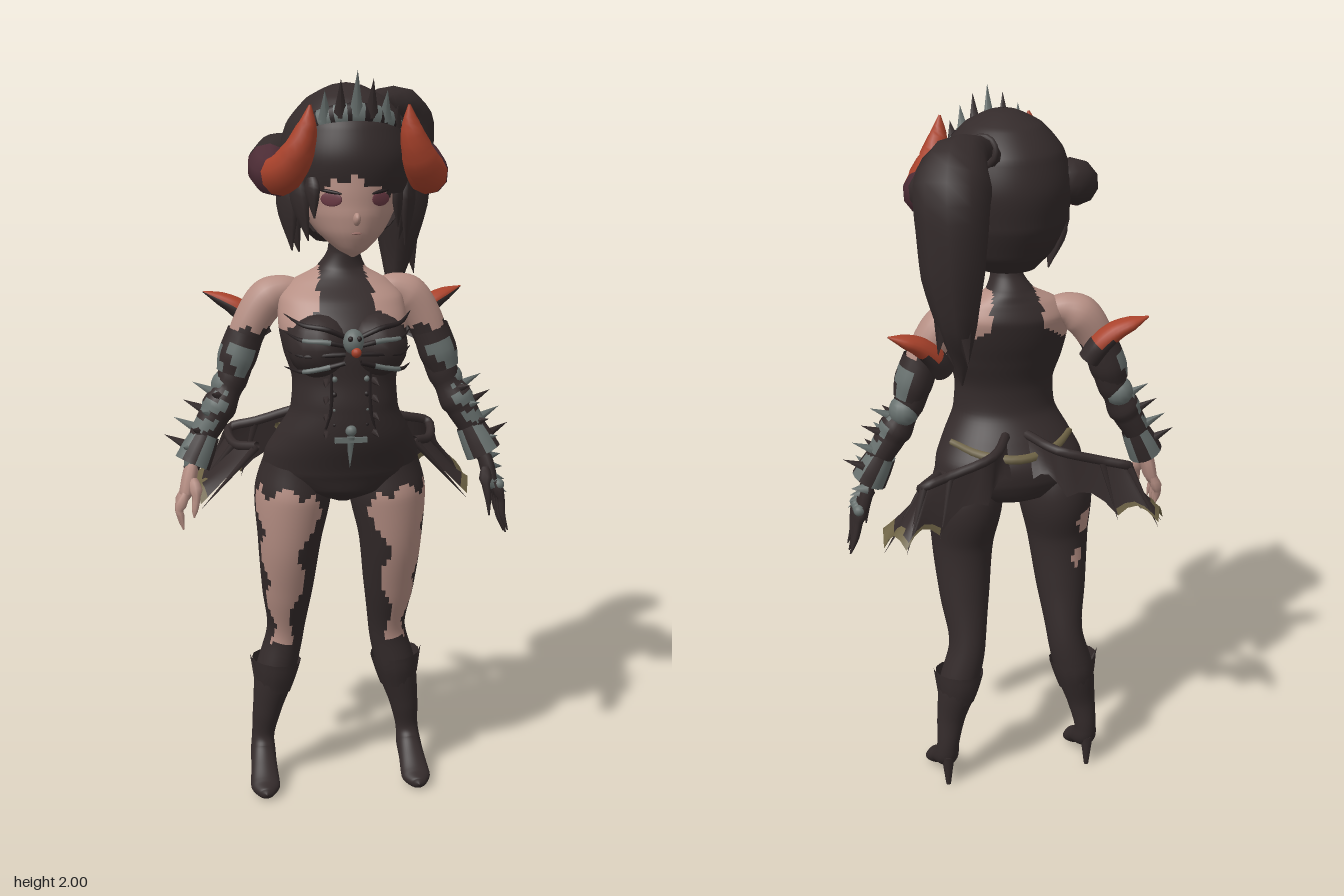
import * as THREE from 'three';

const mat = (name, color) => Object.assign(new THREE.MeshStandardMaterial({ color, side: THREE.DoubleSide }), { name });
const X = new THREE.Vector3(1, 0, 0), Y = new THREE.Vector3(0, 1, 0), Z = new THREE.Vector3(0, 0, 1);
const V = (x, y, z) => new THREE.Vector3(x, y, z);
const HX = 0.015; // head sits slightly off centre

export function createModel() {
  const root = new THREE.Group();
  root.name = 'hornedWarrior';
  const dark = mat('dark cloth and hair', 0x342b2b), skin = mat('skin', 0xb68f84), red = mat('horn red', 0xa9422b),
    purple = mat('horn purple', 0x4c2c35), grey = mat('armour grey', 0x68716f), tan = mat('tan lining', 0x6e6345),
    black = mat('black trim', 0x261f20), eye = mat('eye', 0x6a3a44), lip = mat('lip', 0x9c6f68);

  const add = (name, geo, m, pos = [0, 0, 0], rot = [0, 0, 0], scale = [1, 1, 1]) => {
    const mesh = new THREE.Mesh(geo, m);
    mesh.name = name;
    mesh.position.set(...pos); mesh.rotation.set(...rot); mesh.scale.set(...scale);
    root.add(mesh);
    return mesh;
  };

  // Tube through keys [x, y, z, halfWidth, halfDepth]; flat keeps rings level; paint picks a material index per face, -1 leaves a hole
  const loft = (name, keys, mats, { n = 12, m = 16, ref = X, flat = false, paint = () => 0 } = {}) => {
    const list = [].concat(mats);
    const path = new THREE.CatmullRomCurve3(keys.map(k => V(k[0], k[1], k[2])));
    const size = new THREE.CatmullRomCurve3(keys.map(k => V(k[3], k[4] ?? k[3], 0)));
    const pos = [], tris = list.map(() => []);
    for (let i = 0; i <= m; i++) {
      const t = i / m, c = path.getPoint(t), T = flat ? Y : path.getTangent(t), r = size.getPoint(t);
      const u = ref.clone().addScaledVector(T, -T.dot(ref)).normalize(), v = T.clone().cross(u);
      for (let j = 0; j < n; j++) {
        const a = j / n * Math.PI * 2;
        pos.push(...c.clone().addScaledVector(u, Math.cos(a) * r.x).addScaledVector(v, Math.sin(a) * r.y).toArray());
      }
    }
    const at = i => V(pos[3 * i], pos[3 * i + 1], pos[3 * i + 2]);
    for (let i = 0; i < m; i++) for (let j = 0; j < n; j++) {
      const a = i * n + j, b = i * n + (j + 1) % n, c = a + n, d = b + n;
      const k = paint(at(a).add(at(d)).multiplyScalar(0.5), (j + 0.5) / n * Math.PI * 2, (i + 0.5) / m);
      if (k >= 0) tris[k].push(a, b, c, b, d, c);
    }
    const geo = new THREE.BufferGeometry();
    geo.setAttribute('position', new THREE.Float32BufferAttribute(pos, 3));
    geo.setIndex(tris.flat());
    let start = 0;
    tris.forEach((t, k) => { geo.addGroup(start, t.length, k); start += t.length; });
    geo.computeVertexNormals();
    return add(name, geo, list);
  };
  // Cone from a base point to a tip
  const spike = (name, from, to, r, m) => {
    const a = V(...from), d = V(...to).sub(a);
    const mesh = add(name, new THREE.ConeGeometry(r, d.length(), 5), m, a.clone().addScaledVector(d, 0.5).toArray());
    mesh.quaternion.setFromUnitVectors(Y, d.normalize());
  };
  const ball = (name, m, pos, r, scale, rot) => add(name, new THREE.SphereGeometry(r, 14, 10), m, pos, rot, scale);

  // Torso, with bare shoulders beside a halter top
  const halter = y => .075 + .09 * Math.max(0, 1 - (y - 1.335) / .055) - Math.max(0, y - 1.42) * .25;
  loft('torso', [[0, .865, .09, .03, .05], [0, .9, .08, .155, .11], [0, .95, .078, .212, .132], [0, 1, .087, .207, .142],
    [0, 1.06, .115, .178, .135], [0, 1.13, .14, .143, .115], [0, 1.2, .14, .138, .11], [0, 1.28, .13, .16, .122],
    [0, 1.34, .115, .17, .128], [0, 1.41, .08, .165, .11], [0, 1.455, .06, .125, .075], [.004, 1.487, .055, .066, .058],
    [.01, 1.53, .065, .043, .045], [.012, 1.59, .08, .04, .042]], [dark, skin], { n: 56, m: 90, flat: true,
    paint: p => p.y > 1.335 && p.y < 1.49 && Math.abs(p.x) > halter(p.y) ? 1 : 0 });
  for (const s of [-1, 1]) ball('bust', dark, [s * .075, 1.3, .2], .083);

  // Chest clasp, corset studs and waist ornament
  ball('chestClasp', grey, [0, 1.325, .287], .027, [1, 1.2, 1]);
  ball('chestGem', red, [.004, 1.3, .308], .013);
  for (const s of [-1, 1]) {
    ball('claspSocket', black, [s * .011, 1.335, .308], .007);
    for (let k = 0; k < 4; k++) {
      const y = 1.335 - k * .022;
      loft('chestRib', [[s * .02, y, .282, .006], [s * .07, y + .022 - k * .012, .285 - k * .005, .007],
        [s * .125, y + .03 - k * .018, .257, .006], [s * .165, y + .05 - k * .024, .19, .001]], [black, grey],
        { n: 6, m: 12, ref: Y, paint: (p, a, t) => k % 2 && t > .25 && t < .7 ? 1 : 0 });
    }
    for (let k = 0; k < 4; k++) ball('corsetStud', k % 2 ? grey : black, [s * .042, 1.1 + k * .04, .243], .008);
    loft('corsetSeam', [[s * .05, 1.24, .243, .004], [s * .055, 1.12, .246, .005], [s * .1, 1.02, .212, .004], [s * .16, .97, .165, .001]], black, { n: 5, m: 10 });
    for (let k = 0; k < 4; k++) spike('corsetFrill', [s * .06, 1.08 + k * .045, .23], [s * .07, 1.07 + k * .045, .275], .012, dark);
  }
  spike('waistPendant', [0, 1.07, .248], [0, .98, .235], .014, grey);
  add('waistBar', new THREE.BoxGeometry(.085, .014, .014), grey, [0, 1.06, .25]);
  ball('waistStud', grey, [0, 1.085, .252], .015);
  loft('backBelt', [[-.17, 1.06, .06, .009], [-.1, 1.04, -.012, .013], [0, 1.03, -.046, .014], [.1, 1.04, -.012, .013], [.17, 1.06, .06, .009]], tan, { n: 6, m: 16, ref: Y });

  for (const s of [-1, 1]) {
    // Leg, boot and foot, with torn stockings
    loft('leg', [[.12, .97, .08, .09, .1], [.13, .88, .07, .104, .118], [.14, .75, .07, .087, .095], [.143, .6, .04, .071, .074],
      [.146, .45, 0, .052, .058], [.172, .34, -.005, .056, .06], [.198, .22, -.005, .041, .04], [.21, .135, -.012, .032, .032],
      [.212, .095, .002, .035, .037], [.214, .062, .048, .037, .026], [.216, .028, .098, .041, .023],
      [.217, .02, .135, .022, .016], [.217, .02, .145, .002, .002]].map(k => [k[0] * s, ...k.slice(1)]), [dark, skin], { n: 40, m: 90,
      paint: (p, a) => {
        const f = Math.atan2(Math.sin(a), s * Math.cos(a)) * 180 / Math.PI, d = .9 - p.y;
        if (s < 0 && Math.hypot((f + 50) / 18, (p.y - .81) / .04) < 1) return 1;
        if (s < 0 && Math.hypot((f + 65) / 12, (p.y - .7) / .025) < 1) return 1;
        if (p.y < .43 || p.y > .9 + .02 * Math.sin(f / 9)) return 0;
        return f > 14 + d * 60 + 11 * Math.sin(p.y * 42) && f < 122 - d * 55 + 13 * Math.sin(p.y * 31 + 1) ? 1 : 0;
      } });
    loft('bootCuff', [[s * .17, .37, -.002, .07, .066], [s * .174, .33, -.004, .062, .064], [s * .18, .28, -.005, .05, .052]], dark, { n: 14, m: 5 });
    spike('bootCuffPoint', [s * .222, .31, 0], [s * .246, .385, 0], .014, dark);
    add('bootHeel', new THREE.CylinderGeometry(.02, .007, .1, 8), dark, [s * .213, .05, -.022]);

    // Arm: bare shoulder, dark sleeve with grey plates
    loft('arm', [[.1, 1.42, .05, .03], [.15, 1.422, .045, .044], [.19, 1.403, .04, .054], [.232, 1.345, .04, .05], [.262, 1.27, .04, .046],
      [.292, 1.18, .045, .042], [.335, 1.1, .055, .042], [.37, 1.04, .06, .037], [.395, .98, .068, .028], [.405, .95, .07, .02]]
      .map(k => [k[0] * s, ...k.slice(1)]), [skin, dark, grey], { n: 20, m: 60, ref: Z,
      paint: (p, a) => {
        if (p.y > 1.325 + .012 * Math.sin(a * 4)) return 0;
        const out = -s * Math.sin(a) * .85 + Math.cos(a) * .5;
        return p.y < 1.16 && out > .1 && Math.sin(p.y * 130) > -.5 ? 2 : 1;
      } });
    loft('upperArmPlate', [[s * .25, 1.315, .045, .054, .05], [s * .272, 1.255, .045, .057, .053], [s * .288, 1.205, .047, .046, .043]], [grey, dark],
      { n: 16, m: 8, ref: Z, paint: (p, a, t) => -s * Math.sin(a) * .8 + Math.cos(a) * .6 > -.1 && t > .25 && Math.sin(a * 3 + t * 4) > -.5 ? 0 : 1 });
    ball('elbowPlate', grey, [s * .304, 1.172, .038], .043, [.95, 1, 1]);
    loft('wristCuff', [[s * .362, 1.045, .058, .039], [s * .382, 1.005, .064, .046], [s * .4, .968, .07, .05]], [grey, dark],
      { n: 16, m: 6, ref: Z, paint: (p, a) => Math.sin(a * 4) > .6 ? 1 : 0 });
    for (let k = 0; k < 4; k++) {
      const x = .325 + k * .026, y = 1.15 - k * .047;
      spike('forearmSpike', [s * x, y, .05], [s * (x + .07), y + .035, .045], .017, k % 2 ? dark : grey);
      spike('forearmSpikeFront', [s * x, y, .075], [s * (x + .025), y + .015, .115], .014, k % 2 ? grey : dark);
    }
    // Flared sleeve top, red on its upper side and towards the back of the tip
    loft('armFin', [[s * .2, 1.29, -.01, .03, .03], [s * .228, 1.335, -.02, .037, .03], [s * .268, 1.372, -.03, .037, .026],
      [s * .31, 1.394, -.042, .03, .018], [s * .355, 1.412, -.05, .002, .002]], [dark, red],
      { n: 16, m: 16, ref: Z, paint: (p, a, t) => t > .28 && (s * Math.sin(a) < .1 || (t > .45 && Math.cos(a) < -.5)) ? 1 : 0 });

    // Hands: bare on the right, clawed glove on the left
    const glove = s > 0, hm = glove ? dark : skin, reach = glove ? .03 : 0;
    loft('palm', [[s * .398, .975, .07, .022, .018], [s * .41, .93, .075, .036, .02], [s * .42, .89, .08, .04, .018], [s * .426, .87, .082, .03, .01]], hm, { n: 10, m: 8, ref: Z });
    for (let k = 0; k < 4; k++) {
      const z = .05 + k * .021, e = Math.abs(k - 1.4) * .012;
      loft('finger', [[s * .42, .895, z, .011], [s * (.435 + k * .002), .85, z + .003, .011], [s * (.436 + reach * .3), .815 + e - reach, z + .006, .009],
        [s * (.43 + reach), .785 + e - reach * 1.6, z + .01, .002]], hm, { n: 7, m: 9, ref: Z });
      if (glove) {
        ball('knuckle', grey, [.434, .885, z], .016);
        spike('gloveSpike', [.41, .95 - k * .02, .05 + k * .02], [.455, .955 - k * .03, .045 + k * .026], .018, grey);
      }
    }
    loft('thumb', [[s * .4, .93, .1, .012], [s * .395, .895, .125, .012], [s * .4, .855, .135, .009], [s * .403, .835 - reach, .138, .002]], hm, { n: 7, m: 8, ref: Z });

    // Hip wing: a folded sheet between ribs with a tan scalloped hem
    const ribs = [[.03, 1.085, .0, .03, .98, -.07], [.09, 1.07, -.1, .11, .94, -.125], [.21, 1.035, -.115, .25, .88, -.15],
      [.285, 1.015, -.125, .35, .87, -.2], [.275, .985, -.06, .395, .84, -.11], [.22, .99, 0, .375, .83, -.005]];
    const pos = [], hem = [], cloth = [], N = 20, R = 8;
    for (let i = 0; i <= N; i++) for (let j = 0; j <= R; j++) {
      const f = i / 4, k = Math.min(4, Math.floor(f)), w = f - k, v = j / R;
      const mix = c => THREE.MathUtils.lerp(ribs[k][c], ribs[k + 1][c], w);
      const sag = Math.sin(w * Math.PI);
      for (let c = 0; c < 3; c++)
        pos.push((mix(c) * (1 - v) + mix(c + 3) * v + (c === 1 ? .035 * sag * v * v : c === 2 ? .012 * sag * v : 0)) * (c === 0 ? s : 1));
      if (i < N && j < R) {
        const a = i * (R + 1) + j, b = a + 1, c = a + R + 1, d = c + 1;
        (j > (i > 12 && i < 18 ? R - 3 : R - 2) && i > 7 ? hem : cloth).push(...(s > 0 ? [a, c, b, b, c, d] : [a, b, c, b, d, c]));
      }
    }
    const wing = new THREE.BufferGeometry();
    wing.setAttribute('position', new THREE.Float32BufferAttribute(pos, 3));
    wing.setIndex([...cloth, ...hem]);
    wing.addGroup(0, cloth.length, 0);
    wing.addGroup(cloth.length, hem.length, 1);
    wing.computeVertexNormals();
    add('hipWing', wing, [dark, tan]);
    for (const r of ribs.slice(2)) spike('hipWingRib', [s * r[0], r[1], r[2]], [s * r[3], r[4] - .015, r[5]], .011, dark);
    loft('hipWingTop', ribs.map(r => [s * r[0], r[1], r[2], .013]), dark, { n: 7, m: 20, ref: Y });

    // Curled horn: dark root, purple middle, red tip
    loft('horn', [[.12, 1.78, .01, .045], [.175, 1.775, .025, .06], [.205, 1.755, .075, .058], [.207, 1.737, .14, .053],
      [.188, 1.742, .215, .052], [.158, 1.79, .256, .043], [.136, 1.855, .274, .027], [.128, 1.912, .283, .003]]
      .map(k => [HX + s * (k[0] - .005), ...k.slice(1)]), [dark, purple, red],
      { n: 10, m: 28, ref: V(0, 1, .3).normalize(), paint: (p, a, t) => t < .28 ? 0 : t < .53 ? 1 : 2 });

    // Eyes and lashes
    const ry = s * .58;
    ball('eye', eye, [HX + s * .063, 1.678, .231], .03, [1, .6, .12], [0, ry, 0]);
    ball('lash', black, [HX + s * .066, 1.697, .229], .034, [1, .14, .18], [0, ry, s * .15]);
  }

  // Head and face
  loft('face', [[HX, 1.527, .185, .004], [HX, 1.545, .172, .038, .042], [HX, 1.59, .132, .088, .106], [HX, 1.64, .1, .12, .145],
    [HX, 1.7, .09, .135, .155], [HX, 1.8, .08, .14, .16], [HX, 1.88, .08, .09, .1]], skin, { n: 32, m: 28, flat: true });
  ball('nose', skin, [HX, 1.628, .243], .018, [.55, .9, 1.2], [-.4, 0, 0]);
  ball('mouth', lip, [HX, 1.592, .238], .013, [1, .22, .25]);

  // Hair cap with fringe swept to both sides of a parting
  const fringe = x => 1.735 - .42 * Math.abs(x + .005) + .012 * Math.sin(x * 110);
  loft('hairCap', [[HX, 1.555, .03, .075, .07], [HX, 1.6, .05, .125, .125], [HX, 1.68, .065, .165, .175], [HX, 1.77, .07, .178, .192],
    [HX, 1.86, .07, .155, .172], [HX, 1.925, .07, .1, .112], [HX, 1.957, .07, .035, .04], [HX, 1.962, .07, .002]], dark, { n: 64, m: 60, flat: true,
    paint: p => p.z > .11 && p.y < fringe(p.x) ? -1 : 0 });
  // Locks framing the face
  const locks = [[-.13, 1.74, .165, -.1, 1.57, .185, .035], [-.15, 1.74, .12, -.135, 1.54, .13, .045], [-.095, 1.73, .215, -.09, 1.63, .225, .026],
    [.13, 1.73, .165, .135, 1.6, .165, .03], [.165, 1.75, .14, .16, 1.55, .14, .04], [.175, 1.74, .1, .15, 1.56, .1, .045], [-.14, 1.7, .08, -.11, 1.53, .08, .04]];
  for (const [x, y, z, tx, ty, tz, r] of locks)
    loft('hairLock', [[x, y, z, r * .6, .012], [(x * 2 + tx) / 3 * 1.02, (y + ty) / 2 + .02, (z + tz) / 2 + .004, r, .014],
      [tx, ty, tz, .002, .002]], dark, { n: 8, m: 8, ref: V(.6, 0, -Math.sign(x)).normalize() });

  // Ponytail and tie
  loft('ponytail', [[.085, 1.87, -.07, .03], [.13, 1.9, -.125, .035], [.19, 1.89, -.19, .075, .06], [.218, 1.83, -.235, .097, .085],
    [.222, 1.73, -.245, .09, .09], [.222, 1.62, -.245, .08, .086], [.215, 1.5, -.25, .052, .062], [.205, 1.41, -.238, .025, .03],
    [.2, 1.33, -.23, .002]], dark, { n: 10, m: 24 });
  spike('ponytailStrand', [.24, 1.58, -.25], [.265, 1.42, -.25], .04, dark);
  spike('ponytailStrand', [.21, 1.55, -.27], [.2, 1.4, -.3], .04, dark);
  add('hairTie', new THREE.TorusGeometry(.035, .01, 6, 14), dark, [.115, 1.89, -.105]).lookAt(.2, 1.93, -.22);

  // Tiara: arc of plates with spikes, tallest in the middle
  const arc = a => [HX + Math.sin(a) * .152, 1.885 - .05 * a * a, .07 + Math.cos(a) * .152];
  loft('tiaraBand', [-.95, -.6, -.2, .2, .6, .95].map(a => [...arc(a), .03, .016]), [grey, black],
    { n: 8, m: 30, ref: Y, paint: (p, a, t) => Math.sin(t * 45) > .5 ? 1 : 0 });
  for (let k = -3; k <= 3; k++) {
    const [x, y, z] = arc(k * .26), h = .11 - Math.abs(k) * .018;
    spike('tiaraSpike', [x, y, z], [HX + (x - HX) * 1.05, y + h, z + .028], .02, k % 2 ? dark : grey);
  }
  return root;
}
